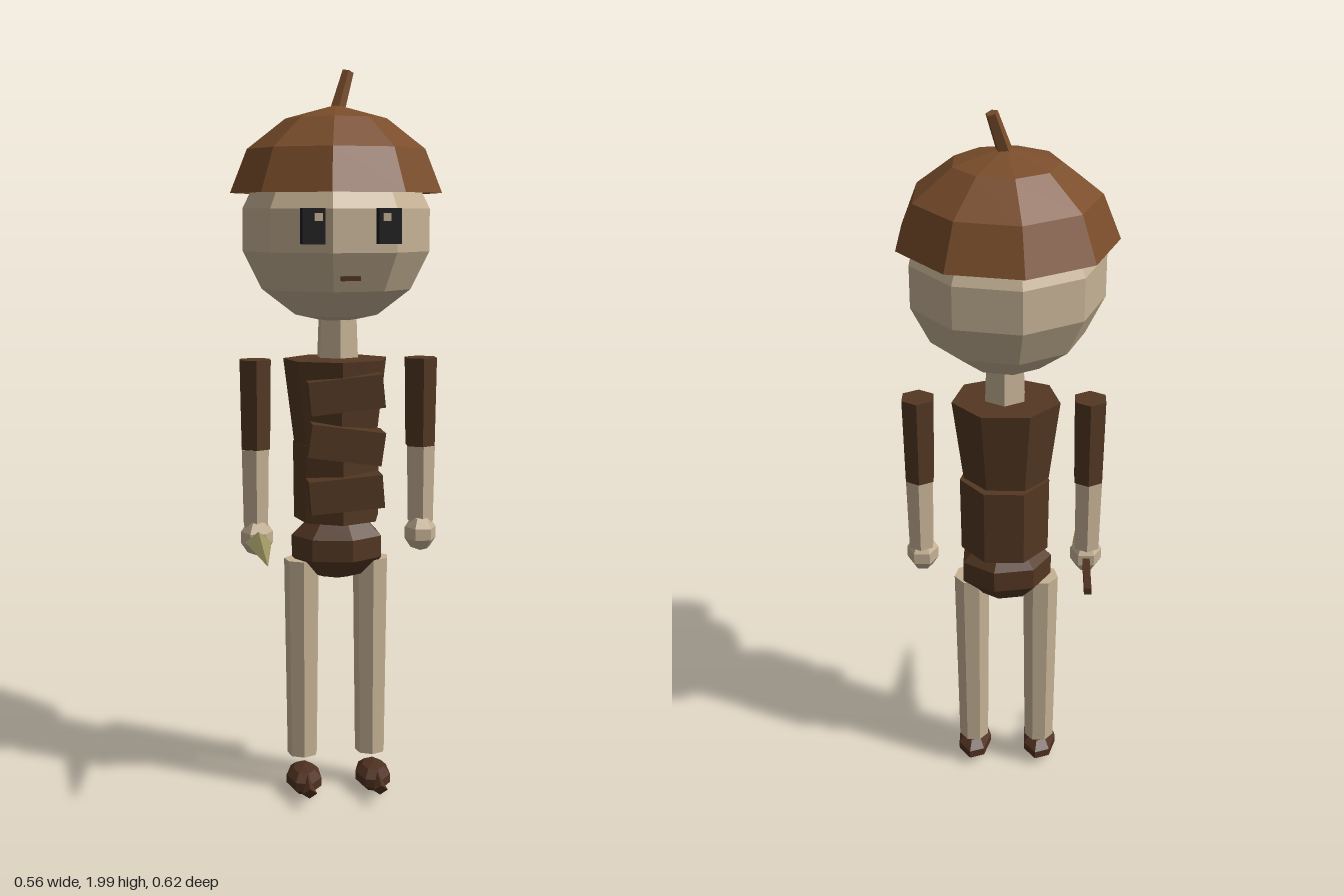
import * as THREE from 'three';

const mat = (name, color) => {
  const m = new THREE.MeshStandardMaterial({ color, flatShading: true });
  m.name = name;
  return m;
};

export function createModel() {
  const root = new THREE.Group();
  root.name = 'acornFigure';
  const skin = mat('paleWood', 0xc6b295);
  const capBrown = mat('capBrown', 0x7a4d2b);
  capBrown.side = THREE.DoubleSide;
  const bark = mat('darkBark', 0x533722);
  const shoe = mat('shoeBrown', 0x4e3020);
  const black = mat('eyeBlack', 0x1c1c1e);
  const blade = mat('thornOlive', 0x9a9160);
  const Z = -0.033; // depth of the body axis

  const add = (name, geo, material, x, y, z) => {
    const m = new THREE.Mesh(geo, material);
    m.name = name;
    m.position.set(x, y, z);
    root.add(m);
    return m;
  };
  // Tapered upright prism between two heights
  const prism = (name, material, x, z, y0, y1, r0, r1, sides, sz = 1) => {
    const m = add(name, new THREE.CylinderGeometry(r1, r0, y1 - y0, sides), material, x, (y0 + y1) / 2, z);
    m.scale.z = sz;
    return m;
  };
  // Low-poly ellipsoid
  const blob = (name, material, x, y, z, rx, ry, rz, w, h) => {
    const g = new THREE.SphereGeometry(1, w, h);
    g.scale(rx, ry, rz);
    return add(name, g, material, x, y, z);
  };
  const box = (name, material, w, h, d, x, y, z) =>
    add(name, new THREE.BoxGeometry(w, h, d), material, x, y, z);

  // Head and neck
  blob('head', skin, 0, 1.578, Z, 0.26, 0.252, 0.262, 9, 7);
  prism('neck', skin, 0.003, Z, 1.235, 1.36, 0.06, 0.055, 6);

  // Acorn cap: open faceted dome with a leaning stem
  const profile = [[0.286, 1.675], [0.24, 1.79], [0.137, 1.87], [0, 1.907]]
    .map(([r, y]) => new THREE.Vector2(r, y));
  add('cap', new THREE.LatheGeometry(profile, 9, -Math.PI / 2), capBrown, 0, 0, Z);
  const stemStart = new THREE.Vector3(0, 1.885, -0.033);
  const stemEnd = new THREE.Vector3(0.034, 1.995, -0.055);
  const stemDir = stemEnd.clone().sub(stemStart);
  const stem = add('capStem', new THREE.CylinderGeometry(0.016, 0.021, stemDir.length(), 5), capBrown, 0, 0, 0);
  stem.position.copy(stemStart).add(stemEnd).multiplyScalar(0.5);
  stem.quaternion.setFromUnitVectors(new THREE.Vector3(0, 1, 0), stemDir.normalize());

  // Face
  for (const [side, x, glint] of [['right', -0.095, -0.083], ['left', 0.1, 0.091]]) {
    box(side + 'Eye', black, 0.058, 0.09, 0.055, x, 1.59, 0.2125);
    box(side + 'EyeGlint', skin, 0.02, 0.02, 0.008, glint, 1.613, 0.243);
  }
  box('mouth', shoe, 0.05, 0.012, 0.014, 0.001, 1.458, 0.222);

  // Torso, chest plates and hips
  prism('chest', bark, 0, Z, 1.0, 1.23, 0.118, 0.147, 7, 0.87);
  prism('waist', bark, 0.004, -0.04, 0.785, 1.0, 0.122, 0.124, 7, 0.97);
  [[1.145, 0.1], [1.01, -0.14], [0.875, 0.08]].forEach(([y, tilt], i) => {
    box('chestPlate' + (i + 1), bark, 0.2, 0.09, 0.1, 0.01, y, 0.056).rotation.z = tilt;
  });
  blob('hips', bark, 0.003, 0.71, Z, 0.135, 0.097, 0.108, 7, 5);

  // Limbs
  for (const [side, s] of [['left', 1], ['right', -1]]) {
    const ax = s > 0 ? 0.235 : -0.223;
    prism(side + 'UpperArm', bark, ax, Z, 0.985, 1.23, 0.043, 0.047, 6);
    prism(side + 'Forearm', skin, ax + s * 0.002, -0.03, 0.77, 0.985, 0.037, 0.041, 6);
    blob(side + 'Hand', skin, ax, 0.74, -0.02, 0.046, 0.052, 0.052, 6, 5);

    const lx = s * 0.097;
    prism(side + 'Leg', skin, lx, Z, 0.105, 0.672, 0.043, 0.05, 7);
    blob(side + 'Foot', shoe, s * 0.098, 0.046, 0.008, 0.052, 0.038, 0.089, 7, 5);
    // Small loose toe thorn, wide end forwards and low
    const toe = add(side + 'ToeThorn', new THREE.ConeGeometry(0.02, 0.065, 4), shoe, s * 0.098, 0.07, 0.117);
    toe.rotation.x = -1.05;
  }

  // Thorn dagger held in the right hand
  const thorn = new THREE.ConeGeometry(0.036, 0.28, 4);
  thorn.rotateX(Math.PI / 2);
  thorn.scale(1, 0.8, 1);
  add('daggerBlade', thorn, blade, -0.223, 0.737, 0.17);
  box('daggerHandle', shoe, 0.02, 0.02, 0.25, -0.223, 0.737, -0.085);

  return root;
}
